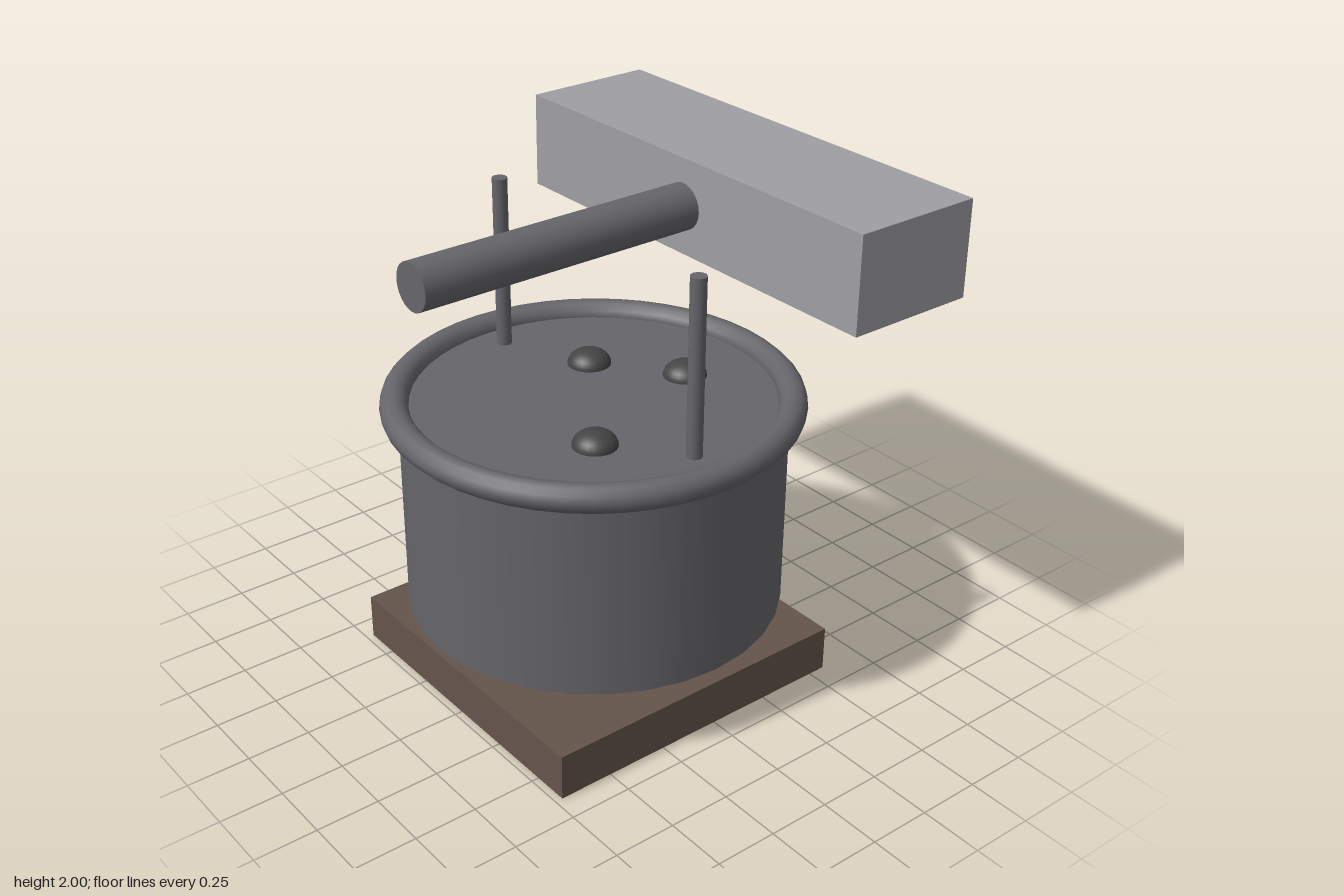
import * as THREE from 'three';

const paint = (color) => new THREE.MeshStandardMaterial({ color });

export function createModel() {
  const model = new THREE.Group();
  const iron = paint(0x66656a);
  const steel = paint(0x9f9ea3);
  const wood = paint(0x65554b);
  const dark = paint(0x444444);
  const axisZ = 0.075; // drum centre line

  const add = (name, geometry, material, x, y, z) => {
    const mesh = new THREE.Mesh(geometry, material);
    mesh.name = name;
    mesh.position.set(x, y, z);
    model.add(mesh);
    return mesh;
  };

  // Square wooden base, floating below the drum
  add('base', new THREE.BoxGeometry(1.29, 0.185, 1.29), wood, 0, 0.0925, axisZ);

  // Drum with a rolled rim
  add('drum', new THREE.CylinderGeometry(0.73, 0.73, 0.83, 32), iron, 0, 0.745, axisZ);
  add('rim', new THREE.TorusGeometry(0.742, 0.054, 12, 48), iron, 0, 1.16, axisZ).rotation.x = Math.PI / 2;

  // Flattened lumps on the drum top
  for (const [x, z] of [[-0.23, -0.08], [0.3, 0.3], [0.075, -0.305]]) {
    add('lump', new THREE.SphereGeometry(0.085, 24, 16), dark, x, 1.16, z).scale.y = 0.7;
  }

  // Two upright posts
  for (const side of [-1, 1]) {
    add(side > 0 ? 'leftPost' : 'rightPost',
      new THREE.CylinderGeometry(0.03, 0.03, 0.69, 16), iron, side * 0.578, 1.505, axisZ);
  }

  // Mallet lying above: handle along z, head across the back
  add('handle', new THREE.CylinderGeometry(0.09, 0.09, 1.19, 24), iron, 0, 1.814, 0.245).rotation.x = Math.PI / 2;
  add('head', new THREE.BoxGeometry(1.83, 0.375, 0.53), steel, 0, 1.8125, -0.607);

  return model;
}
